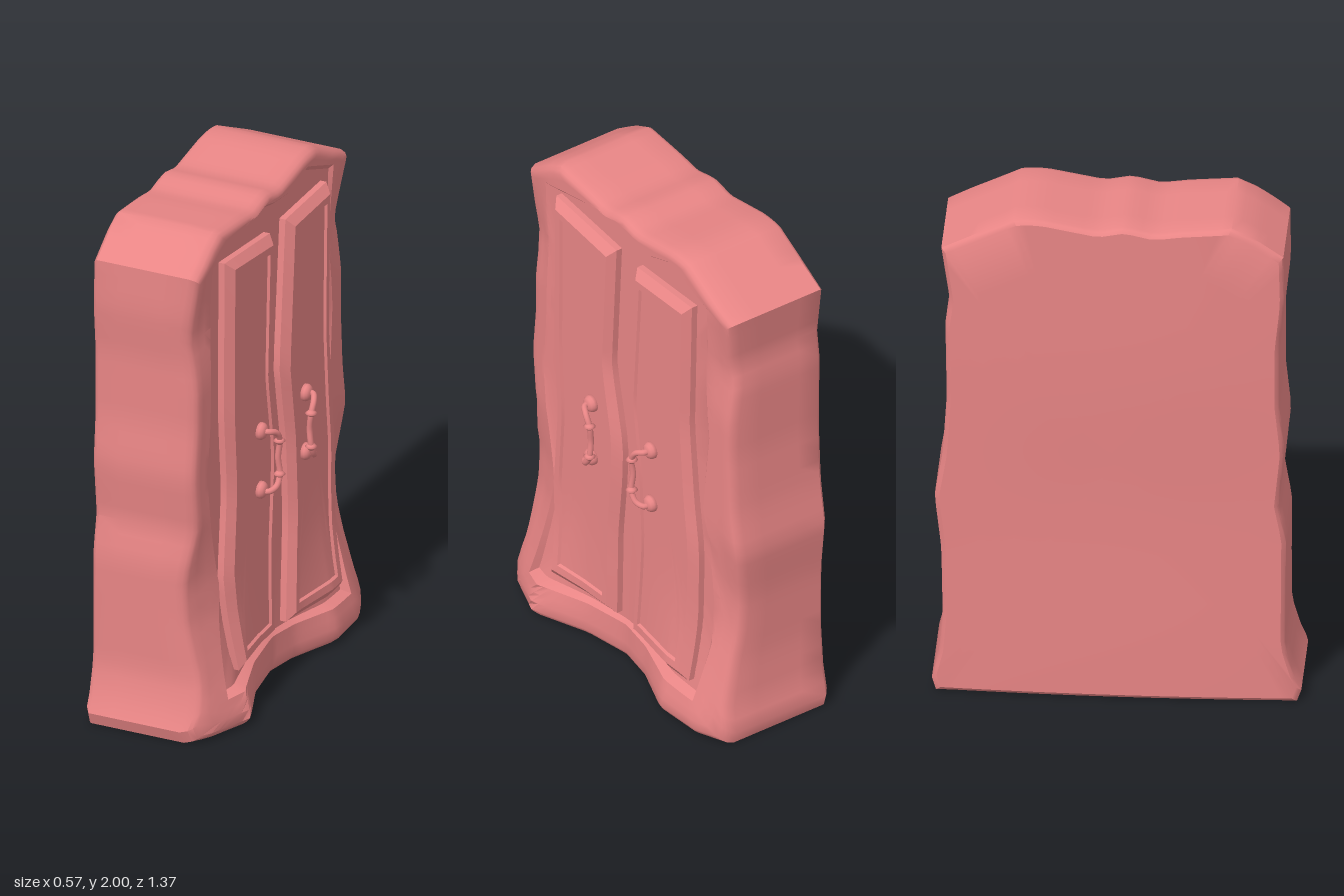
import * as THREE from 'three';
import { toCreasedNormals } from 'three/addons/utils/BufferGeometryUtils.js';

const material = new THREE.MeshStandardMaterial({ color: 0xe88585 });

// Piecewise linear lookup in a list of [position, value], positions rising
function lookup(table, t) {
  if (t <= table[0][0]) return table[0][1];
  for (let i = 1; i < table.length; i++) {
    const [a, va] = table[i - 1], [b, vb] = table[i];
    if (t <= b) return va + (vb - va) * (t - a) / (b - a);
  }
  return table[table.length - 1][1];
}

// Wavy front surface: slim at the sides, swelling at the two feet
const sideDepth = [[0, 0.15], [0.45, 0.115], [0.6, 0.115], [0.85, 0.15], [1.4, 0.15], [1.6, 0.125], [1.9, 0.172], [2, 0.17]];
const footDepth = [[-0.7, 0.19], [-0.55, 0.255], [-0.35, 0.268], [-0.15, 0.19], [0, 0.165], [0.2, 0.2], [0.42, 0.288], [0.6, 0.22], [0.7, 0.15]];
const footBlend = [[0, 0.98], [0.06, 1], [0.15, 0.75], [0.2, 0.58], [0.33, 0.28], [0.45, 0.08], [0.6, 0]];
function frontX(z, y) {
  const side = THREE.MathUtils.smoothstep(Math.abs(z), 0.42, 0.62);
  const upper = THREE.MathUtils.lerp(0.168, lookup(sideDepth, y), side);
  return THREE.MathUtils.lerp(upper, lookup(footDepth, z), lookup(footBlend, y));
}
const floorX = (z, y) => 0.152 + Math.max(0, frontX(z, y) - 0.168) * 0.7;
const backX = (z, y) => -0.264 - 0.02 * Math.max(0, 1 - z * z * 2) * (0.75 + 0.25 * Math.sin(y * 5 + 1));

// Outline of four sides [z, y] resampled so different outlines match point by point
function resample(sides, count = 22) {
  const out = [];
  sides.forEach((side, s) => {
    const pts = [...side, sides[(s + 1) % 4][0]];
    const lengths = [0];
    for (let i = 1; i < pts.length; i++)
      lengths.push(lengths[i - 1] + Math.hypot(pts[i][0] - pts[i - 1][0], pts[i][1] - pts[i - 1][1]));
    const total = lengths[pts.length - 1];
    for (let k = 0; k < count; k++) {
      const t = total * k / count;
      out.push([0, 1].map(c => lookup(pts.map((p, i) => [lengths[i], p[c]]), t)));
    }
  });
  return out;
}

function frameOf(points) {
  const box = new THREE.Box2().setFromPoints(points.map(p => new THREE.Vector2(...p)));
  return { c: box.getCenter(new THREE.Vector2()), s: box.getSize(new THREE.Vector2()) };
}

// Shrinks an outline by a margin
function inset(points, d) {
  const { c, s } = frameOf(points);
  return points.map(([z, y]) => [c.x + (z - c.x) * (1 - 2 * d / s.x), c.y + (y - c.y) * (1 - 2 * d / s.y)]);
}
const mix = (a, b, t) => a.map((p, i) => [p[0] + (b[i][0] - p[0]) * t, p[1] + (b[i][1] - p[1]) * t]);
const place = (points, depth) => points.map(([z, y]) => [depth(z, y), y, z]);

// Concentric rings that close an outline towards its centre
function closing(points, depth) {
  const { c } = frameOf(points);
  const middle = points.map(() => [c.x, c.y]);
  return [0.2, 0.4, 0.6, 0.8, 1].map(t => place(mix(points, middle, t), depth));
}

// Skin over rings ordered from back to front
function loft(name, rings) {
  const n = rings[0].length, index = [];
  for (let r = 0; r < rings.length - 1; r++)
    for (let j = 0; j < n; j++) {
      const a = r * n + j, b = r * n + (j + 1) % n;
      index.push(a, b, b + n, a, b + n, a + n);
    }
  const geometry = new THREE.BufferGeometry();
  geometry.setAttribute('position', new THREE.Float32BufferAttribute(rings.flat(2), 3));
  geometry.setIndex(index);
  const mesh = new THREE.Mesh(toCreasedNormals(geometry, 0.6), material);
  mesh.name = name;
  return mesh;
}

// Sides run: +z edge downwards, bottom, -z edge upwards, top
const bodyOutline = resample([
  [[0.615, 1.87], [0.62, 1.69], [0.6, 1.5], [0.6, 1.24], [0.62, 1.05], [0.597, 0.82], [0.625, 0.68], [0.622, 0.22], [0.655, 0.1], [0.685, 0.04]],
  [[0.665, 0], [0, 0]],
  [[-0.67, 0], [-0.685, 0.05], [-0.66, 0.15], [-0.645, 0.33], [-0.65, 0.6], [-0.675, 0.82], [-0.645, 1], [-0.63, 1.24], [-0.635, 1.55], [-0.62, 1.66]],
  [[-0.65, 1.865], [-0.375, 2], [-0.29, 2], [-0.07, 1.96], [0.03, 1.98], [0.14, 1.955], [0.245, 1.97], [0.425, 1.985], [0.5, 1.95]],
], 36);
const openingOutline = resample([
  [[0.495, 1.87], [0.5, 1.71], [0.49, 1.61], [0.5, 1.24], [0.52, 1.02], [0.5, 0.84], [0.44, 0.55]],
  [[0.505, 0.13], [-0.02, 0.155]],
  [[-0.515, 0.13], [-0.55, 0.55], [-0.52, 0.81], [-0.48, 0.94], [-0.515, 1.29], [-0.495, 1.5]],
  [[-0.51, 1.87], [-0.29, 1.955], [-0.155, 1.91], [-0.02, 1.925], [0.06, 1.945], [0.27, 1.915]],
], 36);
const doorOutlines = {
  leftDoor: [
    [[0.415, 1.86], [0.42, 1.24], [0.395, 0.92], [0.425, 0.57]],
    [[0.385, 0.195]],
    [[0.035, 0.19], [0.03, 0.55], [0.003, 0.82], [0, 0.97], [0.07, 1.29]],
    [[0.04, 1.825]],
  ],
  rightDoor: [
    [[-0.09, 1.825], [-0.04, 1.24], [-0.095, 0.92], [-0.115, 0.6]],
    [[-0.085, 0.185]],
    [[-0.465, 0.185], [-0.475, 0.76], [-0.445, 0.97], [-0.415, 1.29]],
    [[-0.43, 1.835]],
  ],
};

function makeBody() {
  const back = inset(bodyOutline, 0.018), rim = inset(bodyOutline, 0.03);
  const lip = inset(openingOutline, 0.015);
  const drop = d => (z, y) => frontX(z, y) - d;
  return loft('cabinetBody', [
    ...closing(back, backX).reverse(),
    place(back, backX),
    place(inset(bodyOutline, 0.005), (z, y) => backX(z, y) + 0.01),
    place(bodyOutline, () => -0.25),
    ...[0.25, 0.5, 0.75].map(t => place(bodyOutline, (z, y) => -0.25 + t * (frontX(z, y) + 0.21))),
    place(bodyOutline, drop(0.04)),
    place(inset(bodyOutline, 0.008), drop(0.016)),
    place(inset(bodyOutline, 0.018), drop(0.005)),
    ...[0, 0.33, 0.66, 1].map(t => place(mix(rim, openingOutline, t), frontX)),
    place(lip, floorX),
    ...closing(lip, floorX),
  ]);
}

// Bevelled door with a sunken centre panel
function makeDoor(name, sides) {
  const outline = resample(sides);
  const raised = h => (z, y) => floorX(z, y) + h;
  const profile = [[0, -0.02], [0, 0.025], [0.033, 0.054], [0.062, 0.054], [0.068, 0.044]];
  return loft(name, [
    ...profile.map(([d, h]) => place(inset(outline, d), raised(h))),
    ...closing(inset(outline, 0.068), raised(0.044)),
  ]);
}

// Curved pull handle with round mounts and collars
function makeHandle(name, mountZ, gripZ) {
  const handle = new THREE.Group();
  handle.name = name;
  const add = (part, geometry, x, y, z) => {
    const mesh = new THREE.Mesh(geometry, material);
    mesh.name = part;
    mesh.position.set(x, y, z);
    handle.add(mesh);
    return mesh;
  };
  const midY = 0.955, half = [[0.205, 0.12, 0], [0.232, 0.122, 0], [0.25, 0.11, 0.55], [0.252, 0.07, 1]];
  const point = s => ([x, y, t]) => new THREE.Vector3(x, midY + s * y, mountZ + (gripZ - mountZ) * t);
  const path = [...half.map(point(1)), new THREE.Vector3(0.245, midY, gripZ), ...half.map(point(-1)).reverse()];
  add('grip', new THREE.TubeGeometry(new THREE.CatmullRomCurve3(path), 48, 0.0115, 10), 0, 0, 0);
  const mount = [[0, -0.02], [0.033, -0.02], [0.033, 0.004], [0.026, 0.014], [0.016, 0.02], [0, 0.022]];
  const collar = [[0.01, -0.014], [0.016, -0.006], [0.023, 0], [0.016, 0.006], [0.01, 0.014]];
  const lathe = profile => new THREE.LatheGeometry(profile.map(p => new THREE.Vector2(...p)), 16);
  for (const s of [1, -1]) {
    add('mount', lathe(mount), 0.205, midY + s * 0.12, mountZ).rotation.z = -Math.PI / 2;
    add('collar', lathe(collar), 0.251, midY + s * 0.068, gripZ);
  }
  return handle;
}

export function createModel() {
  const model = new THREE.Group();
  model.name = 'wardrobe';
  model.add(makeBody());
  for (const [name, sides] of Object.entries(doorOutlines)) model.add(makeDoor(name, sides));
  model.add(makeHandle('leftHandle', 0.163, 0.108), makeHandle('rightHandle', -0.208, -0.155));
  return model;
}
